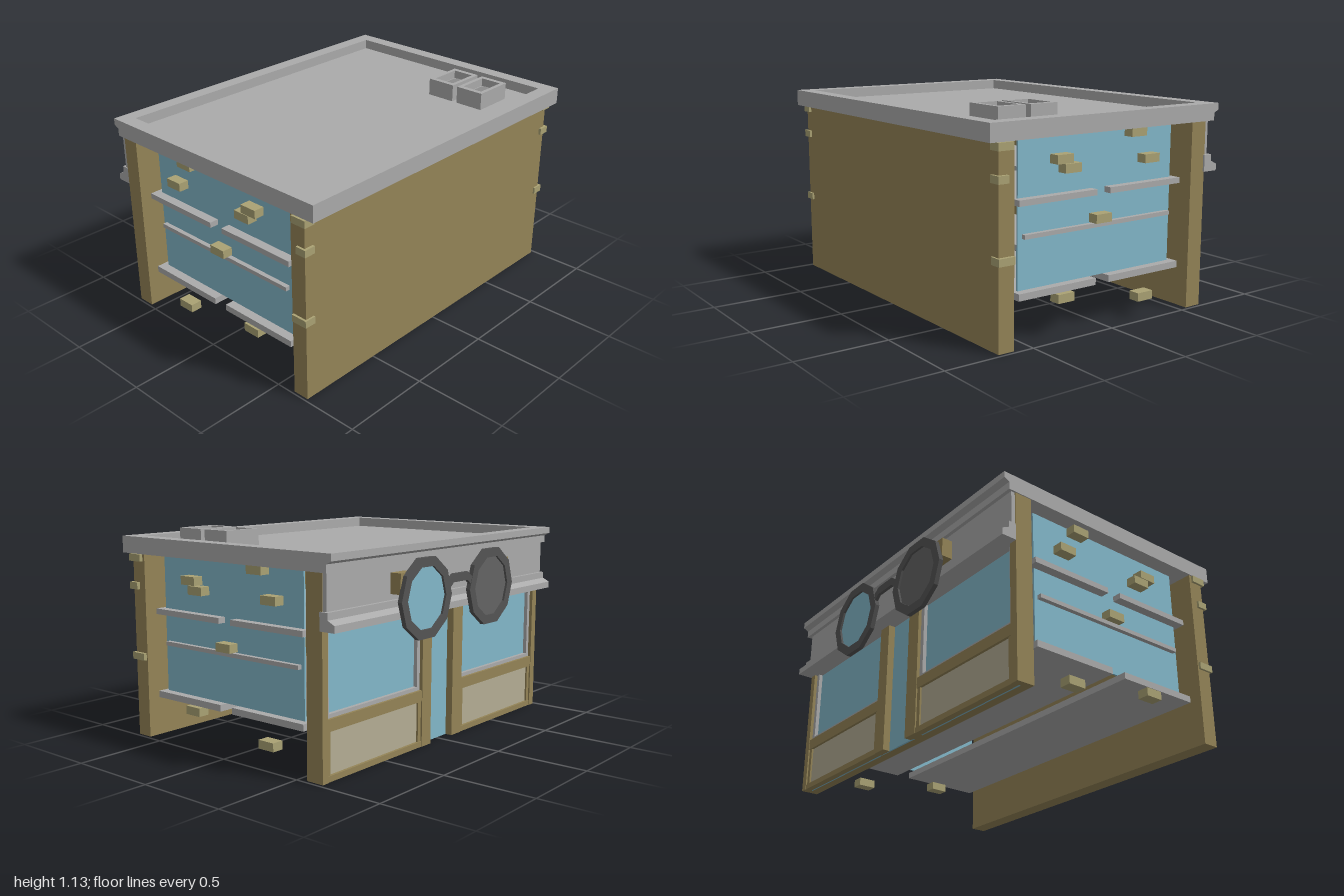
import * as THREE from 'three';

export function createModel() {
  const model = new THREE.Group();
  model.name = 'shopBuilding';
  const mat = (name, color) => {
    const m = new THREE.MeshStandardMaterial({ color });
    m.name = name;
    return m;
  };
  const stone = mat('stoneGrey', 0xababab);
  const wall = mat('wallBrown', 0x948457);
  const brick = mat('brickTan', 0xaaa274);
  const glass = mat('glassBlue', 0x83b8ca);
  const panel = mat('panelBeige', 0xb4ad94);
  const dark = mat('frameDark', 0x545454);
  const lensDark = mat('lensDark', 0x646464);
  const vent = mat('ventGrey', 0x8c8c8c);

  const add = (name, geometry, material) => {
    const mesh = new THREE.Mesh(geometry, material);
    mesh.name = name;
    model.add(mesh);
    return mesh;
  };
  // Box given by its limits on each axis
  const box = (name, m, x0, x1, y0, y1, z0, z1) =>
    add(name, new THREE.BoxGeometry(x1 - x0, y1 - y0, z1 - z0)
      .translate((x0 + x1) / 2, (y0 + y1) / 2, (z0 + z1) / 2), m);
  // Profile in x and y, swept along z
  const sweep = (name, m, points, z0, z1) => {
    const shape = new THREE.Shape(points.map(p => new THREE.Vector2(...p)));
    add(name, new THREE.ExtrudeGeometry(shape, { depth: z1 - z0, bevelEnabled: false }).translate(0, 0, z0), m);
  };
  // Shape in z and y, thickened from x0 towards -x
  const facing = (name, m, shape, x0, depth) =>
    add(name, new THREE.ExtrudeGeometry(shape, { depth, bevelEnabled: false, curveSegments: 8 })
      .rotateY(-Math.PI / 2).translate(x0, 0, 0), m);

  // Roof slab with raised rim and moulded front edge
  box('roofSlab', stone, -0.69, 0.75, 1, 1.035, -1, 0.99);
  box('roofRimRight', stone, 0.67, 0.75, 1.035, 1.09, -1, 0.99);
  box('roofRimBack', stone, -0.64, 0.67, 1.035, 1.09, -1, -0.92);
  box('roofRimFront', stone, -0.64, 0.67, 1.035, 1.09, 0.91, 0.99);
  sweep('roofCornice', stone,
    [[-0.64, 1], [-0.69, 1], [-0.69, 1.04], [-0.72, 1.055], [-0.72, 1.09], [-0.64, 1.09]], -1, 0.99);

  // Roof vents: open boxes with a rounded dark plate inside
  for (const x of [0.185, 0.38]) {
    const outline = new THREE.Shape([[0, 0], [0.165, 0], [0.165, 0.235], [0, 0.235]].map(p => new THREE.Vector2(...p)));
    outline.holes.push(new THREE.Path([[0.022, 0.028], [0.022, 0.207], [0.143, 0.207], [0.143, 0.028]].map(p => new THREE.Vector2(...p))));
    add('roofVent', new THREE.ExtrudeGeometry(outline, { depth: 0.095, bevelEnabled: false })
      .rotateX(-Math.PI / 2).translate(x, 1.035, -0.54), stone);
    box('ventFloor', stone, x + 0.02, x + 0.145, 1.035, 1.085, -0.75, -0.565);
    const a = 0.035, b = 0.13, c = 0.035, d = 0.2, k = 0.02;
    const plate = new THREE.Shape([[a + k, c], [b - k, c], [b, c + k], [b, d - k], [b - k, d], [a + k, d], [a, d - k], [a, c + k]]
      .map(p => new THREE.Vector2(...p)));
    add('ventPlate', new THREE.ExtrudeGeometry(plate, { depth: 0.005, bevelEnabled: false })
      .rotateX(-Math.PI / 2).translate(x, 1.085, -0.54), vent);
  }

  // Right wall and glazed ends
  box('rightWall', wall, 0.6, 0.69, 0, 1, -0.98, 0.985);
  for (const z of [-0.9, 0.9]) box('endWindow', glass, -0.47, 0.525, 0.26, 1, z - 0.005, z + 0.005);

  // Floor slabs, ledges and thin rails
  for (const [x0, x1] of [[-0.5, -0.015], [0.07, 0.55]]) {
    box('floorSlab', stone, x0, x1, 0.225, 0.26, -0.95, 0.955);
    box('ledge', stone, x0, x1, 0.68, 0.71, -0.95, 0.955);
  }
  for (const s of [-1, 1]) {
    const z = s * 0.915;
    box('endRail', stone, -0.45, 0.5, 0.513, 0.535, z - 0.015, z + 0.015);
  }

  // Loose bricks repeated at both ends: x, y, width
  const bricks = [[-0.194, 0.974, 0.1], [-0.287, 0.833, 0.1], [0.232, 0.833, 0.1], [0.283, 0.881, 0.1],
    [0.032, 0.562, 0.1], [0.268, 0.196, 0.1], [-0.262, 0.111, 0.1]];
  const wallBricks = [[0.66, 0.978, 0.089], [0.674, 0.827, 0.061], [0.654, 0.444, 0.093]];
  for (const s of [-1, 1]) {
    for (const [list, z, h] of [[bricks, 0.93, 0.045], [wallBricks, 0.966, 0.038]])
      for (const [x, y, w] of list)
        box('brick', brick, x - w / 2, x + w / 2, y - h / 2, y + h / 2, s * z - 0.032, s * z + 0.032);
  }

  // Shopfront wall: backing, glass, pilasters
  box('shopfrontBacking', wall, -0.6, -0.55, 0, 1, -0.97, 0.975);
  box('shopfrontGlass', glass, -0.609, -0.6, 0, 0.74, -0.95, 0.95);
  box('endPilaster', wall, -0.648, -0.55, 0, 1, -0.98, -0.94);
  box('endPilaster', wall, -0.648, -0.55, 0, 1, 0.94, 0.985);
  box('doorPost', wall, -0.648, -0.6, 0, 0.74, -0.19, -0.11);
  box('doorPost', wall, -0.648, -0.6, 0, 0.74, 0.09, 0.18);

  // Two bays, each with a lower panel, rails and a framed window
  for (const [z0, z1] of [[-0.94, -0.19], [0.18, 0.94]]) {
    box('lowerPanel', panel, -0.63, -0.609, 0.02, 0.26, z0, z1);
    box('bottomRail', wall, -0.645, -0.609, 0, 0.03, z0, z1);
    box('windowSill', wall, -0.645, -0.609, 0.245, 0.305, z0, z1);
    for (const [a, b] of [[z0, z0 + 0.025], [z1 - 0.025, z1]]) {
      box('windowFrame', stone, -0.63, -0.609, 0.305, 0.74, a, b);
      box('panelStile', wall, -0.64, -0.609, 0.03, 0.245, a, b);
    }
    box('windowFrame', stone, -0.63, -0.609, 0.305, 0.325, z0, z1);
  }

  // Sign board and its moulding
  box('signBoard', stone, -0.67, -0.6, 0.73, 1, -0.975, 0.98);
  sweep('signMoulding', stone,
    [[-0.64, 0.73], [-0.64, 0.82], [-0.69, 0.82], [-0.69, 0.785], [-0.73, 0.765], [-0.73, 0.73]], -0.99, 0.985);

  // Spectacles sign: ten-sided rims, lenses, brackets and arched bridge
  const polygon = (z, r) => Array.from({ length: 10 }, (_, i) =>
    new THREE.Vector2(z + r * Math.cos(i * Math.PI / 5), 0.815 + r * Math.sin(i * Math.PI / 5)));
  for (const [z, lens] of [[-0.305, glass], [0.295, lensDark]]) {
    const rim = new THREE.Shape(polygon(z, 0.215));
    rim.holes.push(new THREE.Path(polygon(z, 0.165).reverse()));
    facing('spectacleRim', dark, rim, -0.73, 0.025);
    facing('spectacleLens', lens, new THREE.Shape(polygon(z, 0.167)), -0.734, 0.009);
    const out = Math.sign(z) * 0.445;
    box('signBracket', wall, -0.732, -0.67, 0.85, 0.955, out - 0.055, out + 0.055);
  }
  const bridge = new THREE.Shape([[-0.12, 0.83], [-0.07, 0.87], [0.06, 0.87], [0.11, 0.83], [0.11, 0.88], [0.06, 0.915], [-0.07, 0.915], [-0.12, 0.88]]
    .map(p => new THREE.Vector2(...p)));
  facing('spectacleBridge', dark, bridge, -0.735, 0.018);

  return model;
}
